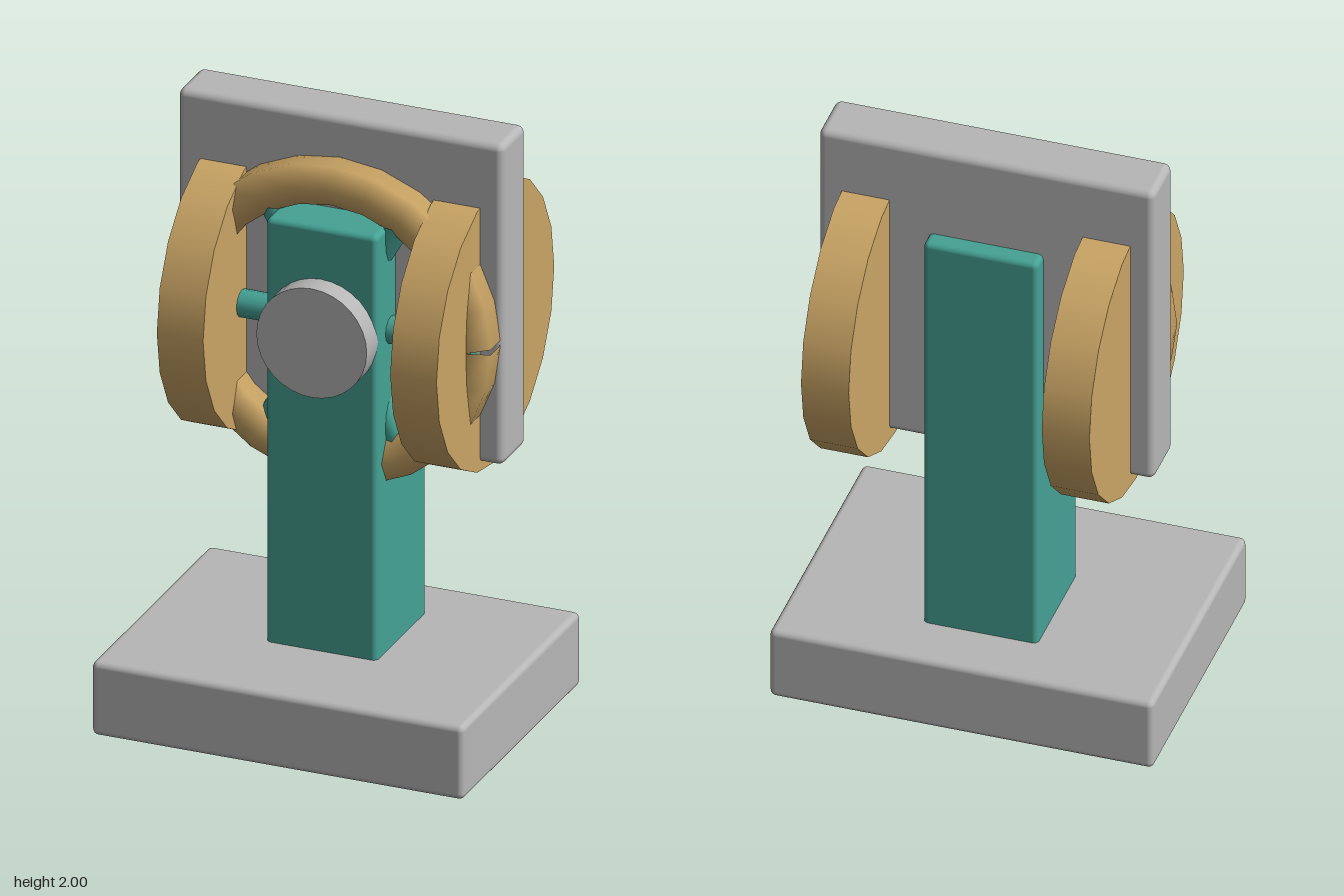
import * as THREE from 'three';
import { RoundedBoxGeometry } from 'three/addons/geometries/RoundedBoxGeometry.js';

const AXIS_Y = 1.33; // height of the wheel axis
const RING_R = 0.47;
const RING_Z = 0.08;

function material(name, color) {
  const m = new THREE.MeshStandardMaterial({ color });
  m.name = name;
  return m;
}

export function createModel() {
  const group = new THREE.Group();
  const silver = material('silver', 0xb6b6b6);
  const teal = material('teal', 0x45a294);
  const gold = material('gold', 0xcaa565);
  gold.side = THREE.DoubleSide;

  function add(name, geometry, mat, x, y, z) {
    const mesh = new THREE.Mesh(geometry, mat);
    mesh.name = name;
    mesh.position.set(x, y, z);
    group.add(mesh);
    return mesh;
  }

  // Rounded block given by its min and max corners
  function block(name, mat, [x0, y0, z0], [x1, y1, z1], radius) {
    add(name, new RoundedBoxGeometry(x1 - x0, y1 - y0, z1 - z0, 3, radius), mat,
      (x0 + x1) / 2, (y0 + y1) / 2, (z0 + z1) / 2);
  }

  block('base', silver, [-0.623, 0, -0.39], [0.623, 0.25, 0.543], 0.02);
  block('column', teal, [-0.186, 0.2, -0.198], [0.186, 1.69, 0.194], 0.018);
  block('backPlate', silver, [-0.545, 0.91, -0.14], [0.545, 2, 0.043], 0.024);

  // Side discs
  for (const side of [-1, 1]) {
    const disc = new THREE.CylinderGeometry(0.466, 0.466, 0.155, 20);
    disc.rotateZ(Math.PI / 2);
    disc.rotateX(Math.PI / 2);
    add(side > 0 ? 'leftDisc' : 'rightDisc', disc, gold, side * 0.391, AXIS_Y, -0.078);
  }

  // Six-sided ring, open by a narrow wedge on the left
  const profile = [];
  for (let i = 0; i <= 6; i++) {
    const a = -Math.PI / 2 + (i * Math.PI) / 3;
    profile.push(new THREE.Vector2(RING_R + 0.076 * Math.cos(a), 0.076 * Math.sin(a)));
  }
  const segments = 24;
  const ring = new THREE.LatheGeometry(profile, segments, Math.PI / 2);
  const pos = ring.attributes.position;
  for (let j = 0; j < profile.length; j++) {
    const tilt = Math.max(0, profile[j].x - RING_R) * 0.13;
    const last = segments * profile.length + j;
    pos.setZ(j, pos.getZ(j) - tilt);
    pos.setZ(last, pos.getZ(last) + tilt);
  }
  ring.rotateX(Math.PI / 2);
  add('ring', ring, gold, 0, AXIS_Y, RING_Z);

  // Three full-width bars make six spokes
  for (let i = 0; i < 3; i++) {
    const spoke = new THREE.CylinderGeometry(0.045, 0.045, RING_R * 2, 12);
    spoke.rotateZ(Math.PI / 2 + (i * Math.PI) / 3);
    add('spoke', spoke, teal, 0, AXIS_Y, RING_Z);
  }

  // Hub through the column
  const hub = new THREE.CylinderGeometry(0.185, 0.185, 0.38, 32);
  hub.rotateX(Math.PI / 2);
  add('hub', hub, silver, 0, AXIS_Y, RING_Z);

  return group;
}
